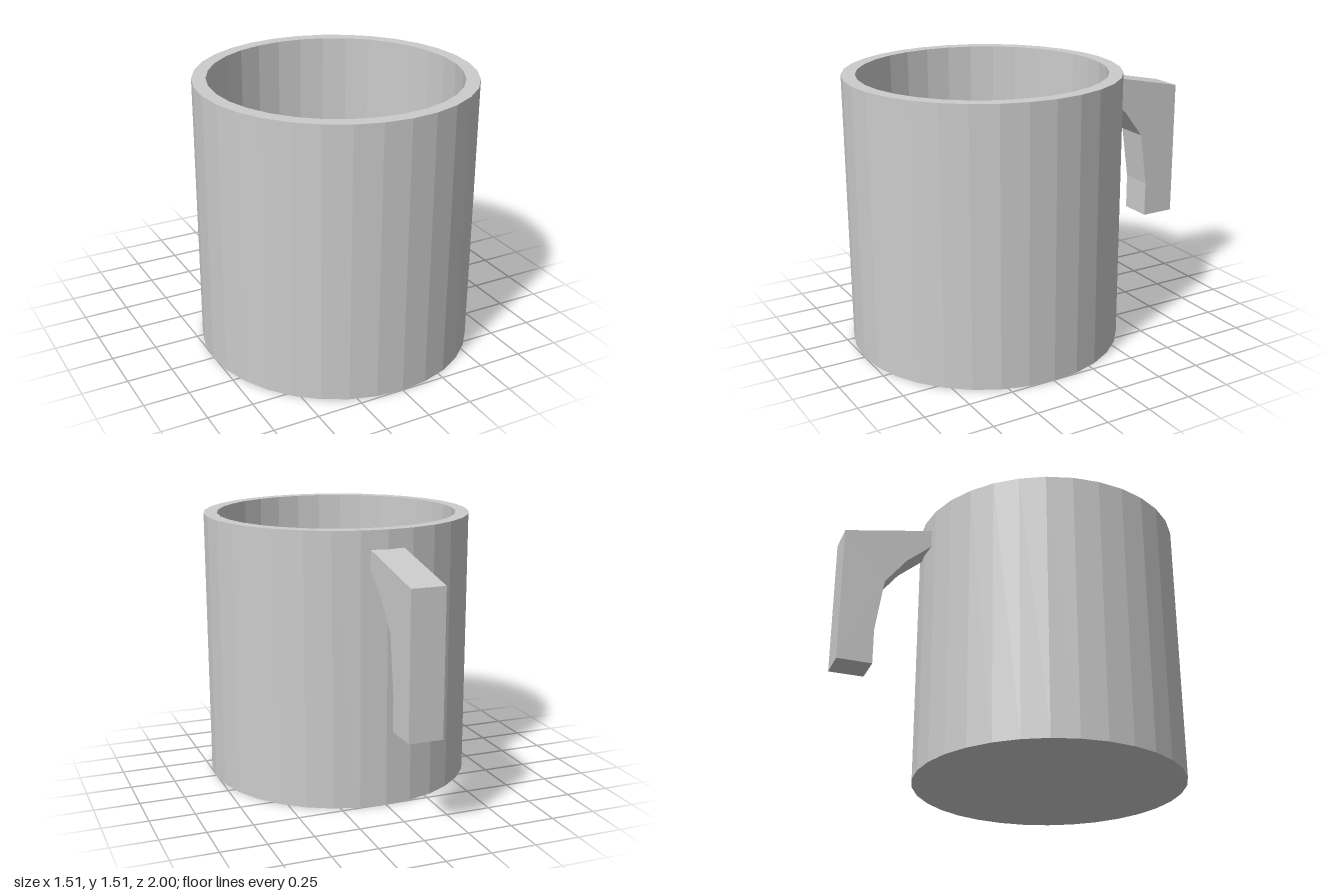
import * as THREE from 'three';

const SIDES = 32;
const CUP_Z = 0.245;
const HEIGHT = 1.515;
const OUTER = 0.755;
const INNER = 0.68;
const FLOOR = 0.075;
const HANDLE_WIDTH = 0.188;

export function createModel() {
  const model = new THREE.Group();
  model.name = 'mug';
  const material = new THREE.MeshStandardMaterial({ color: 0xcccccc, flatShading: true });

  // Cup: base, outer wall, rim, inner wall and floor in one turned profile
  const profile = [
    [0, 0], [OUTER, 0], [OUTER, HEIGHT], [INNER, HEIGHT], [INNER, FLOOR], [0, FLOOR],
  ].map(([r, y]) => new THREE.Vector2(r, y));
  const cup = new THREE.Mesh(new THREE.LatheGeometry(profile, SIDES), material);
  cup.name = 'cup';
  cup.position.z = CUP_Z;
  model.add(cup);

  // Handle: open hook outline (distance behind centre, height), extruded across x
  const outline = [
    [0.495, 1.415], [0.495, 1.315], [0.64, 1.19], [0.76, 1.035],
    [0.805, 0.73], [0.805, 0.53], [1, 0.53], [1, 1.31],
  ].map(([d, y]) => new THREE.Vector2(d, y));
  const handleGeometry = new THREE.ExtrudeGeometry(new THREE.Shape(outline), {
    depth: HANDLE_WIDTH, bevelEnabled: false,
  });
  handleGeometry.translate(0, 0, -HANDLE_WIDTH / 2);
  handleGeometry.rotateY(Math.PI / 2);
  const handle = new THREE.Mesh(handleGeometry, material);
  handle.name = 'handle';
  model.add(handle);

  return model;
}
